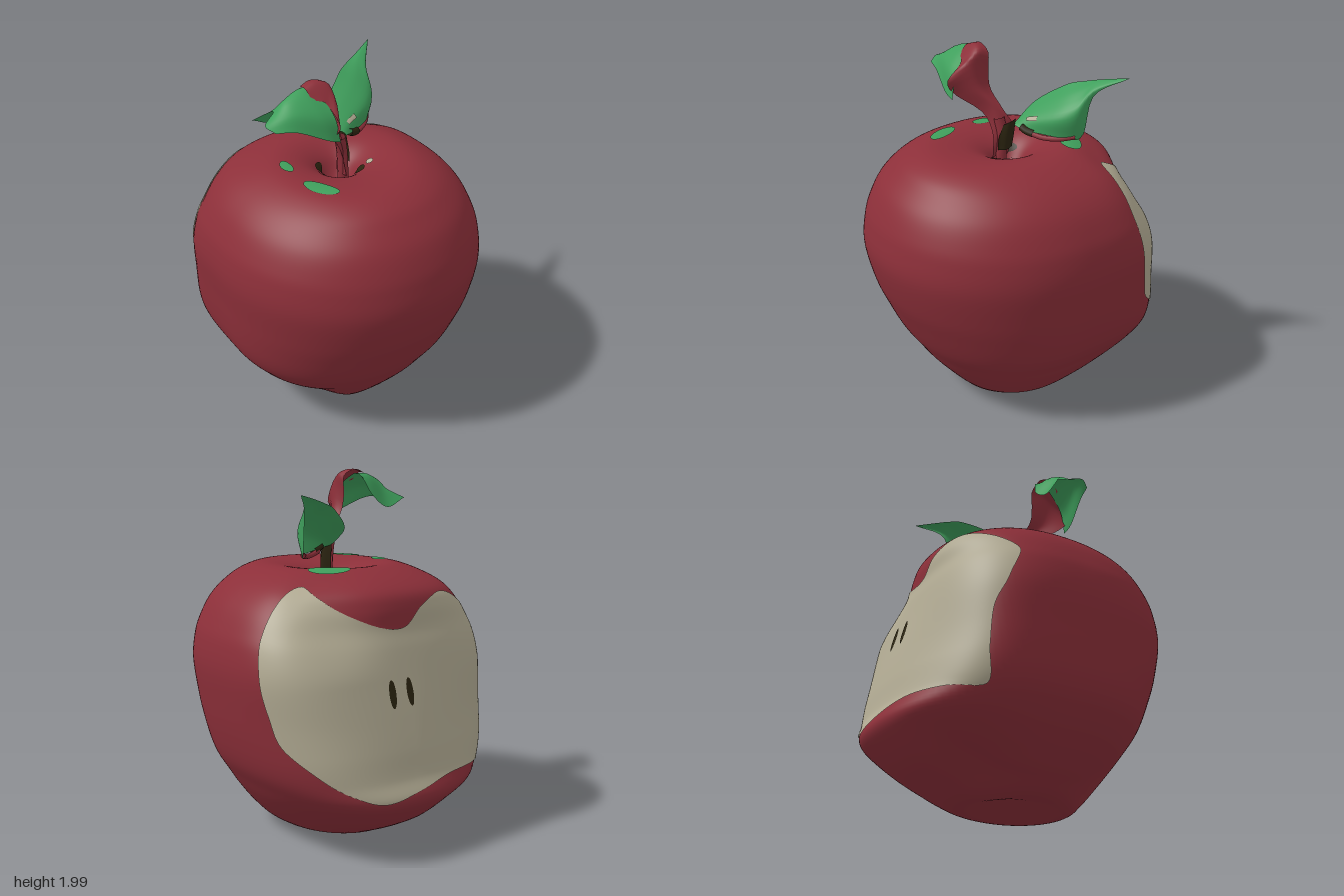
import * as THREE from 'three';

const V = (x, y, z) => new THREE.Vector3(x, y, z);
const DEG = Math.PI / 180;
const step = THREE.MathUtils.smoothstep;

function material(name, color, open = false) {
  const m = new THREE.MeshStandardMaterial({ color });
  m.name = name;
  if (open) m.side = THREE.DoubleSide;
  return m;
}

// Smooth grid surface; wrap closes it along the columns
function grid(rows, cols, wrap, fn) {
  const pos = [], idx = [], n = wrap ? cols : cols + 1;
  for (let i = 0; i <= rows; i++)
    for (let j = 0; j < n; j++) pos.push(...fn(i / rows, j / cols).toArray());
  for (let i = 0; i < rows; i++)
    for (let j = 0; j < cols; j++) {
      const k = (j + 1) % n, a = i * n + j, b = i * n + k, c = a + n, d = b + n;
      idx.push(a, b, c, b, d, c);
    }
  const g = new THREE.BufferGeometry();
  g.setAttribute('position', new THREE.Float32BufferAttribute(pos, 3));
  g.setIndex(idx);
  g.computeVertexNormals();
  return g;
}

// Body rings, bottom hollow to top hollow: y, half width, front depth, back depth, squareness of the back
const rings = [
  [0.07, 0.001, 0.001, 0.001, 2], [0.04, 0.13, 0.14, 0.14, 2], [0.005, 0.26, 0.29, 0.32, 2.2],
  [0.06, 0.38, 0.36, 0.47, 2.5], [0.15, 0.47, 0.44, 0.64, 2.8], [0.25, 0.54, 0.52, 0.76, 3.2],
  [0.34, 0.59, 0.58, 0.82, 3.6], [0.45, 0.65, 0.65, 0.78, 4], [0.6, 0.70, 0.72, 0.75, 4],
  [0.75, 0.735, 0.78, 0.715, 3.8], [0.95, 0.76, 0.825, 0.665, 3.5], [1.1, 0.745, 0.81, 0.63, 3.2],
  [1.2, 0.71, 0.78, 0.605, 3], [1.3, 0.655, 0.73, 0.6, 2.7], [1.38, 0.58, 0.66, 0.57, 2.5],
  [1.44, 0.49, 0.59, 0.48, 2.2], [1.48, 0.39, 0.49, 0.36, 2], [1.485, 0.3, 0.38, 0.27, 2],
  [1.46, 0.2, 0.23, 0.19, 2], [1.41, 0.12, 0.13, 0.12, 2], [1.33, 0.06, 0.06, 0.06, 2],
  [1.29, 0.001, 0.001, 0.001, 2],
];
const curveOf = f => new THREE.CatmullRomCurve3(rings.map(f), false, 'catmullrom', 0.5);
const sideCurve = curveOf(r => V(r[1], r[0], r[2]));
const backCurve = curveOf(r => V(r[3], r[4], 0));

// Point on the body at angle phi (0 = front, towards +x) and ring parameter u
function surf(phi, u) {
  const p = sideCurve.getPoint(u), q = backCurve.getPoint(u);
  const s = Math.sin(phi), c = Math.cos(phi);
  const depth = Math.max(c > 0 ? p.z : q.x, 0.001);
  // The low back is rounder towards +x and squarer towards -x
  const low = 1 - step(p.y, 0.6, 1.15);
  const n = c > 0 ? 2.1 : Math.max(2, q.y * (s > 0 ? 1 - 0.24 * low : 1));
  const r = ((Math.abs(s) / Math.max(p.x, 0.001)) ** n + (Math.abs(c) / depth) ** n) ** (-1 / n);
  let x = r * s, y = p.y, z = r * c;
  // The bite goes deeper near the top on the +x side
  z += 0.075 * Math.exp(-(((x - 0.4) / 0.22) ** 2)) * step(y, 0.95, 1.35) * step(-z, 0.15, 0.45);
  // Slanted back, fuller low sides, raised underside towards -x
  if (c < 0 && x < 0) z *= 1 - 0.1 * low * step(-x, 0, 0.6);
  x *= 1 + (x < 0 ? 0.07 : 0.035) * Math.exp(-(((y - 0.42) / 0.25) ** 2));
  y += 0.06 * step(-x, 0.1, 0.35) * (1 - step(y, 0.02, 0.4));
  return V(x, y, z);
}

// Surface point lifted along the normal
function lifted(phi, u, h) {
  const e = 0.002, p = surf(phi, u);
  const n = surf(phi + e, u).sub(surf(phi - e, u)).cross(surf(phi, u + e).sub(surf(phi, u - e)));
  return p.addScaledVector(n.normalize(), h);
}

function bisect(lo, hi, below) {
  for (let i = 0; i < 30; i++) {
    const m = (lo + hi) / 2;
    if (below(m)) lo = m; else hi = m;
  }
  return lo;
}
const wallU = y => bisect(2 / 21, 16 / 21, u => sideCurve.getPoint(u).y < y);
const backPoint = ([deg, y]) => V(Math.PI - deg * DEG, wallU(y), 0);

// Thin painted patch spread from a centre to a closed outline in (phi, u)
function patch(center, outline, h, rows, cols) {
  const curve = new THREE.CatmullRomCurve3(outline, true, 'catmullrom', 0.5);
  return grid(rows, cols, true, (k, t) => {
    const q = center.clone().lerp(curve.getPoint(t), Math.max(k, 0.01));
    return lifted(q.x, q.y, h);
  });
}
function spot(center, rPhi, rU, tilt, h) {
  const outline = Array.from({ length: 12 }, (_, i) => {
    const a = -i * 30 * DEG;
    return V(center.x + rPhi * Math.cos(a) + tilt * Math.sin(a), center.y + rU * Math.sin(a), 0);
  });
  return patch(center, outline, h, 6, 24);
}
function topPoint(x, z) {
  const phi = Math.atan2(x, z), r = Math.hypot(x, z);
  return V(phi, bisect(14 / 21, 1, u => { const p = surf(phi, u); return Math.hypot(p.x, p.z) > r; }), 0);
}

// Curved sheet through rows of points; a sub-range with a forward shift gives a painted plate
function sheet(rows, [s0, s1, t0, t1] = [0, 1, 0, 1], shift = 0) {
  const across = rows.map(r => new THREE.CatmullRomCurve3(r.map(p => V(...p)), false, 'catmullrom', 0.5));
  return grid(24, 16, false, (s, t) => {
    const row = across.map(c => c.getPoint(t0 + (t1 - t0) * t));
    const p = new THREE.CatmullRomCurve3(row, false, 'catmullrom', 0.5).getPoint(s0 + (s1 - s0) * s);
    return p.add(V(0, shift / 2, shift));
  });
}
const tube = (pts, r) =>
  new THREE.TubeGeometry(new THREE.CatmullRomCurve3(pts.map(p => V(...p))), 20, r, 10);

export function createModel() {
  const group = new THREE.Group();
  const red = material('skinRed', 0x8c2f39, true);
  const green = material('leafGreen', 0x3f9f5c, true);
  const cream = material('fleshCream', 0xb3ac94, true);
  const dark = material('seedBrown', 0x2b2410, true);
  const add = (name, geometry, mat) => {
    const m = new THREE.Mesh(geometry, mat);
    m.name = name;
    group.add(m);
  };

  add('appleBody', grid(126, 144, true, (u, t) => surf(t * Math.PI * 2, u)), red);

  // Bitten flesh on the back: degrees from the back towards +x, height
  const bite = [
    [48, 1.415], [38, 1.365], [27, 1.29], [11, 1.215], [-3, 1.21], [-14, 1.31], [-30, 1.36], [-45, 1.31],
    [-60, 1.17], [-56, 0.98], [-49, 0.8], [-46, 0.6], [-44, 0.41], [-30, 0.415], [-14, 0.42], [2, 0.38],
    [16, 0.35], [27, 0.4], [40, 0.51], [53, 0.64], [58, 0.78], [62, 0.98], [63, 1.2], [57, 1.37],
  ].map(backPoint);
  add('bittenFlesh', patch(backPoint([0, 0.85]), bite, 0.006, 40, 160), cream);
  for (const deg of [0, 9.5])
    add('seed', spot(backPoint([deg, 0.885]), 1.8 * DEG, 0.017, -0.2 * DEG, 0.01), dark);

  // Painted marks around the top hollow: x, z, half angle, half ring span
  for (const [x, z, a, b] of [[-0.28, 0.255, 0.27, 0.022], [-0.31, -0.03, 0.2, 0.016], [0.2, -0.265, 0.33, 0.034]])
    add('greenMark', spot(topPoint(x, z), a, b, 0, 0.006), green);
  for (const [x, z, a, b] of [[-0.1, -0.04, 0.7, 0.014], [0.07, 0.11, 0.4, 0.016]])
    add('darkMark', spot(topPoint(x, z), a, b, 0, 0.005), dark);
  add('paleMark', spot(topPoint(0.14, 0.105), 0.14, 0.01, 0, 0.006), cream);

  // Stem: slim base widening into a curled ribbon
  add('stemBase', tube([[0, 1.27, 0.05], [0, 1.4, 0.05], [0, 1.52, 0.04], [-0.02, 1.62, 0.05]], 0.03), red);
  add('stemDarkSide', sheet([
    [[0.02, 1.45, 0.085], [0.042, 1.45, 0.045], [0.015, 1.45, -0.01]],
    [[0.022, 1.52, 0.08], [0.042, 1.52, 0.035], [0.02, 1.52, -0.02]],
    [[0.025, 1.59, 0.05], [0.04, 1.605, 0.015], [0.025, 1.61, -0.03]],
  ]), dark);
  add('stemRibbon', sheet([
    [[-0.01, 1.4, 0.1], [-0.02, 1.4, 0.05], [-0.01, 1.4, 0]],
    [[-0.03, 1.53, 0.085], [0, 1.56, 0.05], [0.015, 1.56, -0.02]],
    [[-0.09, 1.64, 0.11], [-0.05, 1.68, 0.08], [-0.01, 1.65, 0.02]],
    [[-0.17, 1.74, 0.23], [-0.1, 1.78, 0.14], [-0.1, 1.76, 0.05]],
    [[-0.17, 1.82, 0.28], [-0.12, 1.9, 0.16], [-0.12, 1.86, 0.05]],
    [[-0.18, 1.89, 0.2], [-0.13, 1.97, 0.12], [-0.12, 1.96, 0.05]],
    [[-0.2, 1.92, 0.17], [-0.19, 1.99, 0.1], [-0.2, 1.995, 0.05]],
    [[-0.25, 1.93, 0.15], [-0.26, 1.975, 0.1], [-0.26, 1.975, 0.05]],
  ]), red);
  add('curledLeaf', sheet([
    [[-0.155, 1.72, 0.26], [-0.17, 1.86, 0.22], [-0.21, 1.97, 0.08], [-0.22, 1.95, 0.01]],
    [[-0.23, 1.75, 0.26], [-0.26, 1.88, 0.21], [-0.29, 1.97, 0.07], [-0.27, 1.85, -0.02]],
    [[-0.38, 1.82, 0.22], [-0.38, 1.9, 0.17], [-0.38, 1.93, 0.07], [-0.38, 1.78, -0.02]],
    [[-0.49, 1.835, 0.19], [-0.515, 1.86, 0.13], [-0.42, 1.88, 0.05], [-0.51, 1.83, -0.01]],
  ]), green);

  // Broad leaf: back edge, crest, flank, tucked lower edge
  const leaf = [
    [[0.02, 1.59, -0.03], [0.025, 1.59, -0.025], [0.03, 1.585, -0.02], [0.04, 1.58, -0.01]],
    [[0.03, 1.69, -0.16], [0.07, 1.66, -0.1], [0.1, 1.62, -0.05], [0.11, 1.57, -0.03]],
    [[0.17, 1.8, -0.26], [0.23, 1.745, -0.18], [0.27, 1.66, -0.11], [0.28, 1.56, -0.13]],
    [[0.25, 1.83, -0.31], [0.31, 1.795, -0.25], [0.35, 1.7, -0.18], [0.35, 1.565, -0.23]],
    [[0.35, 1.86, -0.35], [0.36, 1.85, -0.32], [0.375, 1.82, -0.28], [0.375, 1.79, -0.28]],
    [[0.485, 1.89, -0.42], [0.487, 1.89, -0.42], [0.488, 1.89, -0.42], [0.49, 1.89, -0.42]],
  ];
  add('broadLeaf', sheet(leaf), green);
  add('leafSpeck', sheet(leaf, [0.2, 0.28, 0.58, 0.7], 0.006), cream);
  add('leafLowerEdge', tube([[0.12, 1.56, -0.04], [0.2, 1.545, -0.08], [0.28, 1.55, -0.14], [0.33, 1.565, -0.2]], 0.014), red);
  add('leafDarkSpot', tube([[0.09, 1.585, -0.02], [0.12, 1.57, -0.03], [0.16, 1.56, -0.05]], 0.02), dark);
  return group;
}
